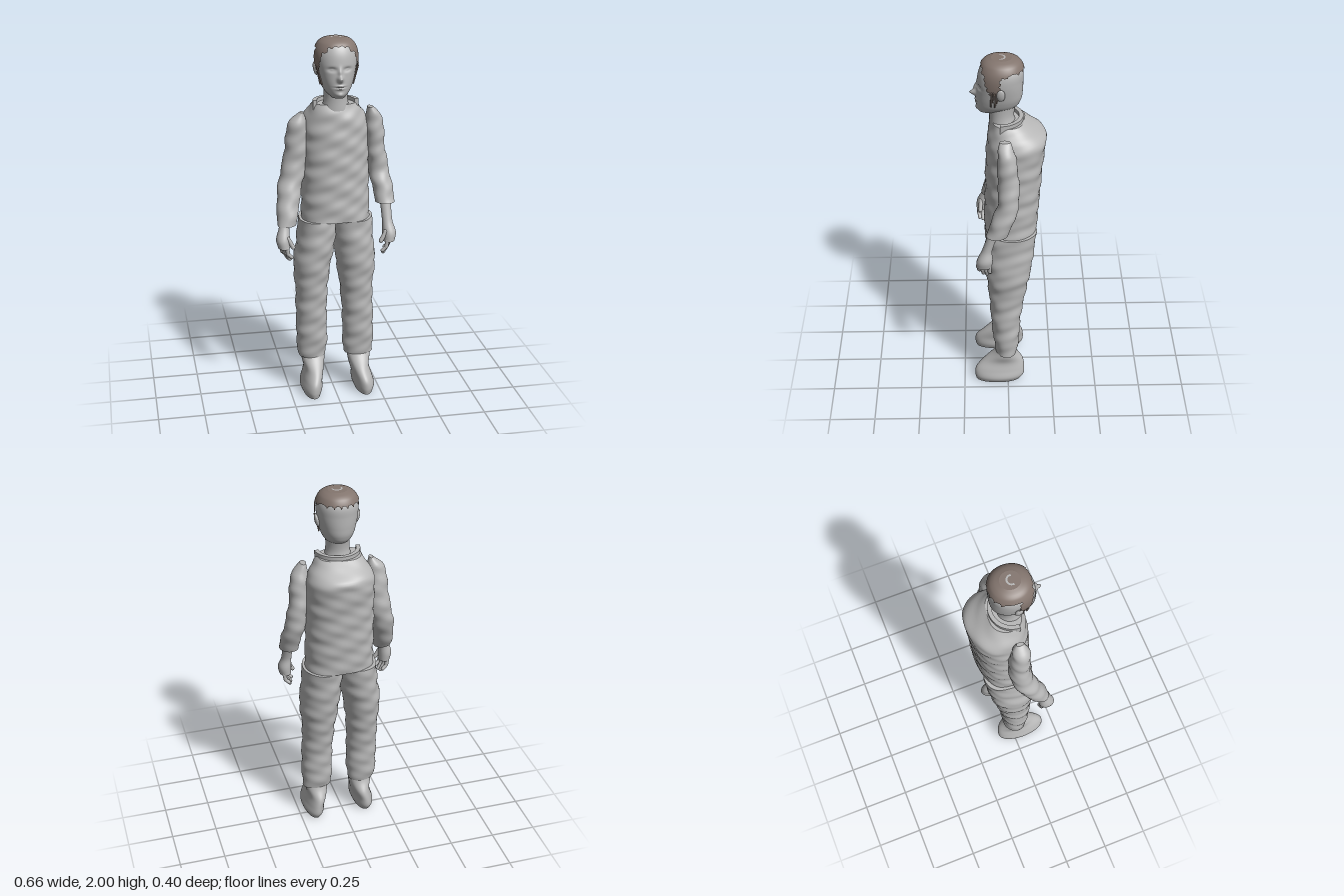
import * as THREE from 'three';

const grey = new THREE.MeshStandardMaterial({ color: 0xb8b8b8 });
grey.name = 'plain grey';
const brown = new THREE.MeshStandardMaterial({ color: 0x84766f, side: THREE.DoubleSide });
brown.name = 'hair brown';

// Smooth value of column k of the sections [y, cx, cz, rx, rz] at height y
function sample(s, k, y) {
  let i = 0;
  while (i < s.length - 2 && y > s[i + 1][0]) i++;
  const slope = (j) => {
    const a = s[Math.max(j - 1, 0)], b = s[Math.min(j + 1, s.length - 1)];
    return (b[k] - a[k]) / (b[0] - a[0]);
  };
  const h = s[i + 1][0] - s[i][0], t = (y - s[i][0]) / h, t2 = t * t, t3 = t2 * t;
  return (2 * t3 - 3 * t2 + 1) * s[i][k] + (t3 - 2 * t2 + t) * h * slope(i)
    + (3 * t2 - 2 * t3) * s[i + 1][k] + (t3 - t2) * h * slope(i + 1);
}

// Closed loft through horizontal sections; move() may shift points, keep() may drop faces
function loft(sections, { rows = 40, n = 48, power = 2, move, keep } = {}) {
  const s = [...sections].sort((a, b) => a[0] - b[0]);
  const y0 = s[0][0], y1 = s[s.length - 1][0];
  const pos = [], idx = [];
  const round = (v) => Math.sign(v) * Math.abs(v) ** (2 / power);
  for (let j = 0; j <= rows; j++) {
    const y = y0 + (y1 - y0) * j / rows;
    const [cx, cz, rx, rz] = [1, 2, 3, 4].map((k) => sample(s, k, y));
    for (let i = 0; i < n; i++) {
      const a = i / n * Math.PI * 2;
      const p = new THREE.Vector3(cx + rx * round(Math.sin(a)), y, cz + rz * round(Math.cos(a)));
      if (move) move(p, Math.sin(a), Math.cos(a));
      pos.push(p.x, p.y, p.z);
    }
  }
  const face = (a, b, c) => {
    const mid = [0, 1, 2].map((k) => (pos[a * 3 + k] + pos[b * 3 + k] + pos[c * 3 + k]) / 3);
    if (!keep || keep(...mid)) idx.push(a, b, c);
  };
  for (let j = 0; j < rows; j++) {
    for (let i = 0; i < n; i++) {
      const a = j * n + i, b = j * n + (i + 1) % n;
      face(a, b, b + n);
      face(a, b + n, a + n);
    }
  }
  // Flat end caps with their own points
  for (const top of [false, true]) {
    const from = top ? rows * n : 0, base = pos.length / 3, e = top ? s[s.length - 1] : s[0];
    pos.push(...pos.slice(from * 3, (from + n) * 3), e[1], e[0], e[2]);
    for (let i = 0; i < n; i++) {
      const a = base + i, b = base + (i + 1) % n;
      if (top) face(a, b, base + n); else face(b, a, base + n);
    }
  }
  const g = new THREE.BufferGeometry();
  g.setAttribute('position', new THREE.Float32BufferAttribute(pos, 3));
  g.setIndex(idx);
  g.computeVertexNormals();
  return g;
}

// Gentle cloth folds
function folds(p, nx, nz) {
  const d = 0.0025 * Math.sin(p.y * 48 + 22 * p.x + Math.sin(p.z * 30))
    + 0.0015 * Math.sin(p.y * 85 - 40 * p.x + 25 * p.z);
  p.x += nx * d;
  p.z += nz * d;
}

// Facial relief: [x offset, y, width, height, depth], pushed along z
const relief = [
  [0, 1.805, 0.013, 0.016, 0.034], [0, 1.838, 0.010, 0.022, 0.014],
  [-0.04, 1.852, 0.02, 0.011, -0.013], [0.04, 1.852, 0.02, 0.011, -0.013],
  [-0.04, 1.851, 0.011, 0.006, 0.006], [0.04, 1.851, 0.011, 0.006, 0.006],
  [0, 1.768, 0.022, 0.006, 0.008], [0, 1.753, 0.02, 0.006, 0.007],
  [0, 1.761, 0.028, 0.003, -0.005], [0, 1.72, 0.022, 0.012, 0.01],
];
function faceRelief(p, nx, nz) {
  if (nz <= 0) return;
  for (const [x, y, w, h, d] of relief) {
    p.z += d * Math.exp(-(((p.x - 0.013 - x) / w) ** 2) - ((p.y - y) / h) ** 2) * Math.min(1, nz * 2);
  }
}

export function createModel() {
  const model = new THREE.Group();
  const add = (name, geometry, material = grey, parent = model) => {
    const m = new THREE.Mesh(geometry, material);
    m.name = name;
    parent.add(m);
    return m;
  };
  // Rounded rod between two points
  const rod = (name, a, b, r, material, parent) => {
    const A = new THREE.Vector3(...a), B = new THREE.Vector3(...b), d = B.clone().sub(A);
    const m = add(name, new THREE.CapsuleGeometry(r, d.length(), 5, 12), material, parent);
    m.position.copy(A).add(B).multiplyScalar(0.5);
    m.quaternion.setFromUnitVectors(new THREE.Vector3(0, 1, 0), d.normalize());
  };

  // Shirt body and raised back collar
  add('shirt', loft([
    [1.01, 0.02, -0.015, 0.186, 0.143], [1.2, 0.02, -0.025, 0.183, 0.146],
    [1.4, 0.02, -0.035, 0.18, 0.15], [1.52, 0.02, -0.045, 0.178, 0.153],
    [1.57, 0.02, -0.047, 0.168, 0.15], [1.615, 0.016, -0.022, 0.14, 0.115],
    [1.65, 0.013, -0.005, 0.115, 0.085],
  ], { rows: 70, n: 72, power: 2.3, move: folds }));
  const arc = new THREE.Shape();
  arc.absarc(0, 0, 0.122, 0, Math.PI, false);
  arc.absarc(0, 0, 0.1, Math.PI, 0, true);
  const collar = add('collar', new THREE.ExtrudeGeometry(arc, { depth: 0.05, bevelEnabled: false, curveSegments: 28 }));
  collar.rotation.x = -Math.PI / 2;
  collar.position.set(0.013, 1.62, 0.04);

  // Neck and head
  add('neck', loft([
    [1.62, 0.013, 0.025, 0.075, 0.07], [1.68, 0.013, 0.03, 0.063, 0.064], [1.77, 0.013, 0.025, 0.065, 0.075],
  ], { rows: 12 }));
  const skull = [
    [1.7, 0.013, 0.085, 0.035, 0.06], [1.73, 0.013, 0.057, 0.066, 0.1],
    [1.77, 0.013, 0.045, 0.085, 0.115], [1.82, 0.013, 0.04, 0.098, 0.118],
    [1.88, 0.013, 0.037, 0.107, 0.117], [1.93, 0.013, 0.032, 0.104, 0.112],
    [1.968, 0.013, 0.03, 0.086, 0.094], [1.985, 0.013, 0.03, 0.064, 0.072], [1.993, 0.013, 0.03, 0.04, 0.046],
  ];
  add('head', loft(skull, { rows: 90, n: 120, power: 2.1, move: faceRelief }));
  for (const s of [-1, 1]) {
    const ear = add('ear', new THREE.SphereGeometry(1, 16, 12));
    ear.scale.set(0.012, 0.036, 0.022);
    ear.position.set(0.013 + s * 0.108, 1.84, 0.035);
    ear.rotation.z = -s * 0.2;
  }

  // Hair cap with side locks, open over the forehead and the back of the head
  add('hair', loft(skull.map(([y, x, z, a, b]) => [y + 0.007, x, z, a + 0.009, b + 0.006]), {
    rows: 90, n: 120, power: 2.1,
    keep: (x, y, z) => {
      const jag = 0.006 * Math.sin(x * 190) + 0.004 * Math.sin(y * 230);
      if (y > 1.945 + jag && z < 0.128 + jag) return true;
      return y > 1.835 + jag && z > 0.042 + jag && z < 0.122 - (1.93 - y) * 0.35 + jag;
    },
  }), brown);
  for (const s of [-1, 1]) {
    for (let i = 0; i < 4; i++) {
      rod('hairLock', [0.013 + s * 0.108, 1.855, 0.05 + i * 0.011],
        [0.013 + s * (0.092 - i * 0.003), 1.79 - (i % 2) * 0.025, 0.055 + i * 0.01], 0.004, brown);
    }
  }
  const crown = add('crownPatch', new THREE.RingGeometry(0.02, 0.029, 24, 1, -0.2, Math.PI + 0.4));
  crown.rotation.x = -Math.PI / 2;
  crown.position.set(0.013, 2.001, 0.038);

  // Sleeves
  add('rightSleeve', loft([
    [1.605, -0.165, 0.015, 0.014, 0.024], [1.55, -0.19, 0.01, 0.047, 0.045],
    [1.4, -0.196, 0, 0.062, 0.055], [1.28, -0.215, 0.003, 0.066, 0.058],
    [1.18, -0.24, 0.03, 0.064, 0.06], [1.08, -0.255, 0.07, 0.058, 0.055], [1.01, -0.265, 0.1, 0.05, 0.045],
  ], { move: folds }));
  add('leftSleeve', loft([
    [1.62, 0.202, 0.015, 0.015, 0.028], [1.56, 0.224, 0.01, 0.045, 0.045],
    [1.4, 0.236, 0, 0.05, 0.055], [1.28, 0.254, 0, 0.055, 0.055],
    [1.18, 0.27, 0.03, 0.055, 0.06], [1.1, 0.28, 0.06, 0.053, 0.055],
  ], { move: folds }));

  // Hands: wrist and palm, four curled fingers, thumb
  const hand = (name, s, x, y, wristTop) => {
    const g = new THREE.Group();
    g.name = name;
    model.add(g);
    add('palm', loft([
      [wristTop, s * (x - 0.005), wristTop > 1.05 ? 0.07 : 0.1, 0.03, 0.028], [y + 0.03, s * x, 0.112, 0.028, 0.027],
      [y - 0.03, s * (x + 0.008), 0.125, 0.037, 0.042], [y - 0.075, s * (x + 0.004), 0.13, 0.032, 0.042],
    ], { rows: 20, n: 28 }), grey, g);
    for (let i = 0; i < 4; i++) {
      const z = 0.1 + i * 0.019, fx = x + 0.016 - i * 0.008, drop = [0.125, 0.14, 0.14, 0.125][i];
      rod('fingerBase', [s * fx, y - 0.07, z], [s * (fx - 0.006), y - 0.105, z], 0.011, grey, g);
      rod('fingerTip', [s * (fx - 0.006), y - 0.105, z], [s * (fx - 0.026), y - drop, z - 0.004], 0.01, grey, g);
    }
    rod('thumb', [s * (x - 0.015), y - 0.02, 0.145], [s * (x - 0.042), y - 0.07, 0.15], 0.012, grey, g);
  };
  hand('rightHand', -1, 0.282, 0.97, 1.03);
  hand('leftHand', 1, 0.282, 0.975, 1.13);

  // Trousers
  add('rightTrouserLeg', loft([
    [1.01, -0.08, -0.018, 0.102, 0.135], [0.87, -0.092, -0.008, 0.105, 0.132],
    [0.76, -0.112, -0.002, 0.102, 0.122], [0.6, -0.118, 0.005, 0.088, 0.1],
    [0.44, -0.12, 0.012, 0.085, 0.082], [0.27, -0.118, 0.01, 0.084, 0.07], [0.2, -0.118, 0.01, 0.073, 0.058],
  ], { rows: 60, power: 2.1, move: folds }));
  add('leftTrouserLeg', loft([
    [1.01, 0.113, -0.018, 0.108, 0.135], [0.87, 0.12, -0.008, 0.108, 0.132],
    [0.76, 0.13, -0.002, 0.108, 0.122], [0.6, 0.134, 0.005, 0.09, 0.1],
    [0.44, 0.142, 0.012, 0.086, 0.082], [0.27, 0.145, 0.01, 0.086, 0.07], [0.2, 0.145, 0.01, 0.08, 0.058],
  ], { rows: 60, power: 2.1, move: folds }));

  // Shoes
  const shoe = (name, s, x) => add(name, loft([
    [0.215, s * (x - 0.012), 0.01, 0.064, 0.05], [0.18, s * (x - 0.012), 0.016, 0.064, 0.07],
    [0.13, s * (x - 0.012), 0.027, 0.054, 0.112], [0.08, s * x, 0.045, 0.054, 0.138],
    [0.035, s * (x + 0.006), 0.05, 0.06, 0.14], [0, s * (x + 0.006), 0.058, 0.047, 0.125],
  ], { rows: 30 }));
  shoe('rightShoe', -1, 0.125);
  shoe('leftShoe', 1, 0.16);

  return model;
}
